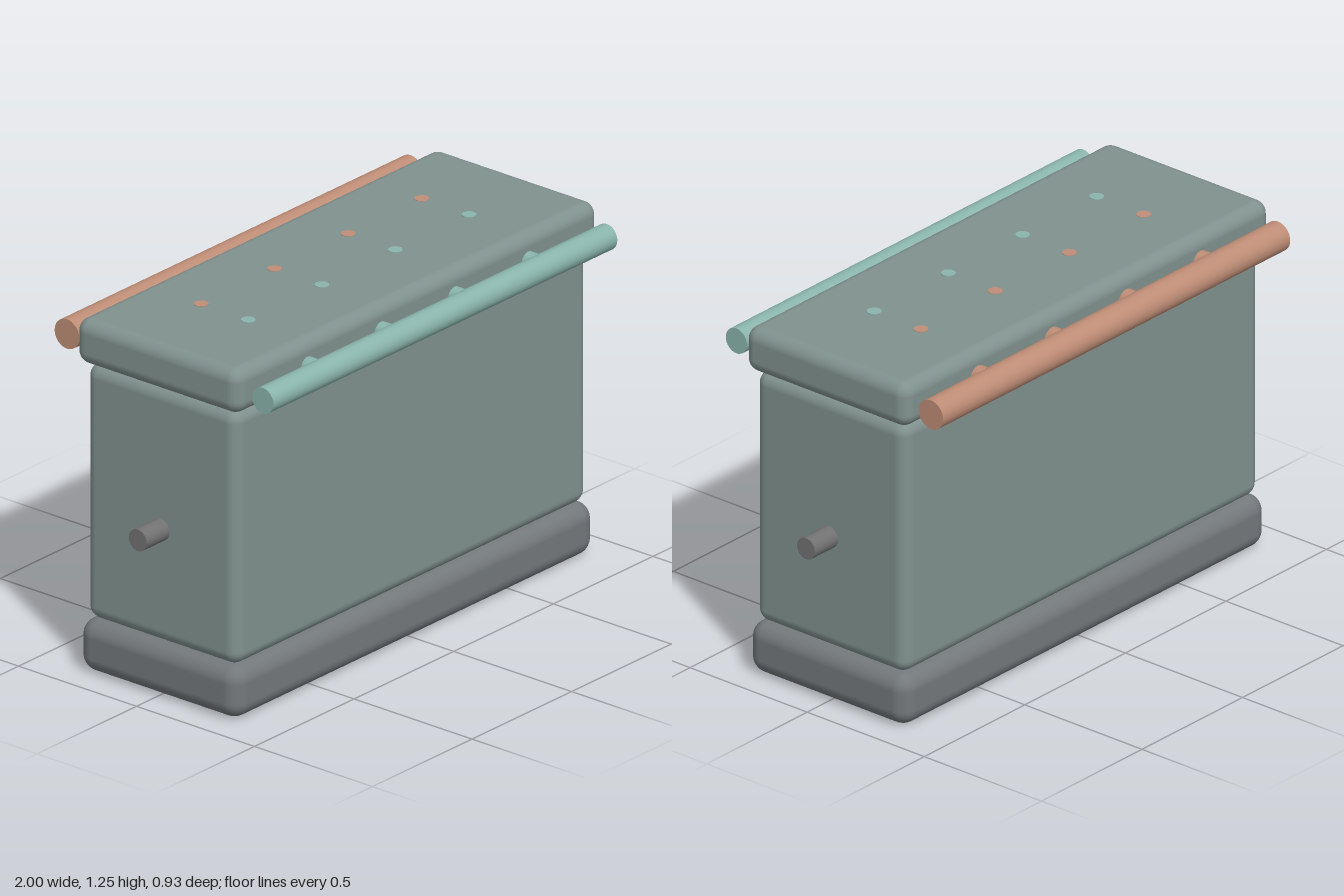
import * as THREE from 'three';
import { RoundedBoxGeometry } from 'three/addons/geometries/RoundedBoxGeometry.js';

const mat = (color) => new THREE.MeshStandardMaterial({ color });
const blockMat = mat(0x80918e);
const panMat = mat(0x73787b);
const shaftMat = mat(0x727272);
const intakeMat = mat(0x8ab5ac);
const exhaustMat = mat(0xbf8d76);

const MID_Z = 0.004;
const BANK_Y = 1.158;
const CYLINDERS_X = [-0.557, -0.188, 0.181, 0.55];

export function createModel() {
  const model = new THREE.Group();
  model.name = 'engine';

  const add = (name, geometry, material, x, y, z) => {
    const mesh = new THREE.Mesh(geometry, material);
    mesh.name = name;
    mesh.position.set(x, y, z);
    model.add(mesh);
    return mesh;
  };

  // Rounded slab between two heights
  const slab = (name, width, depth, y0, y1, radius, material) =>
    add(name, new RoundedBoxGeometry(width, y1 - y0, depth, 6, radius), material, 0, (y0 + y1) / 2, MID_Z);

  // Rod along an axis
  const rod = (name, axis, radius, length, material, x, y, z) => {
    const geometry = new THREE.CylinderGeometry(radius, radius, length, 32);
    if (axis === 'x') geometry.rotateZ(Math.PI / 2);
    if (axis === 'z') geometry.rotateX(Math.PI / 2);
    return add(name, geometry, material, x, y, z);
  };

  // Stacked body
  slab('oilPan', 1.81, 0.68, 0.003, 0.188, 0.058, panMat);
  slab('engineBlock', 1.77, 0.643, 0.188, 1.09, 0.046, blockMat);
  slab('cylinderHead', 1.82, 0.694, 1.09, 1.25, 0.046, blockMat);

  // Crankshaft through both ends
  rod('crankshaft', 'x', 0.038, 2, shaftMat, 0, 0.592, 0.005);

  // Manifold, ports and valves on each side
  const banks = [
    { name: 'intake', side: 1, z: 0.42, radius: 0.045, port: 0.033, material: intakeMat },
    { name: 'exhaust', side: -1, z: -0.411, radius: 0.052, port: 0.039, material: exhaustMat },
  ];
  for (const { name, side, z, radius, port, material } of banks) {
    rod(`${name}Manifold`, 'x', radius, 1.726, material, 0, BANK_Y, z);
    for (const x of CYLINDERS_X) {
      rod(`${name}Port`, 'z', port, 0.13, material, x, BANK_Y, z - side * 0.065);
      rod(`${name}Valve`, 'y', 0.024, 0.1, material, x, 1.202, side * 0.1);
    }
  }

  return model;
}
